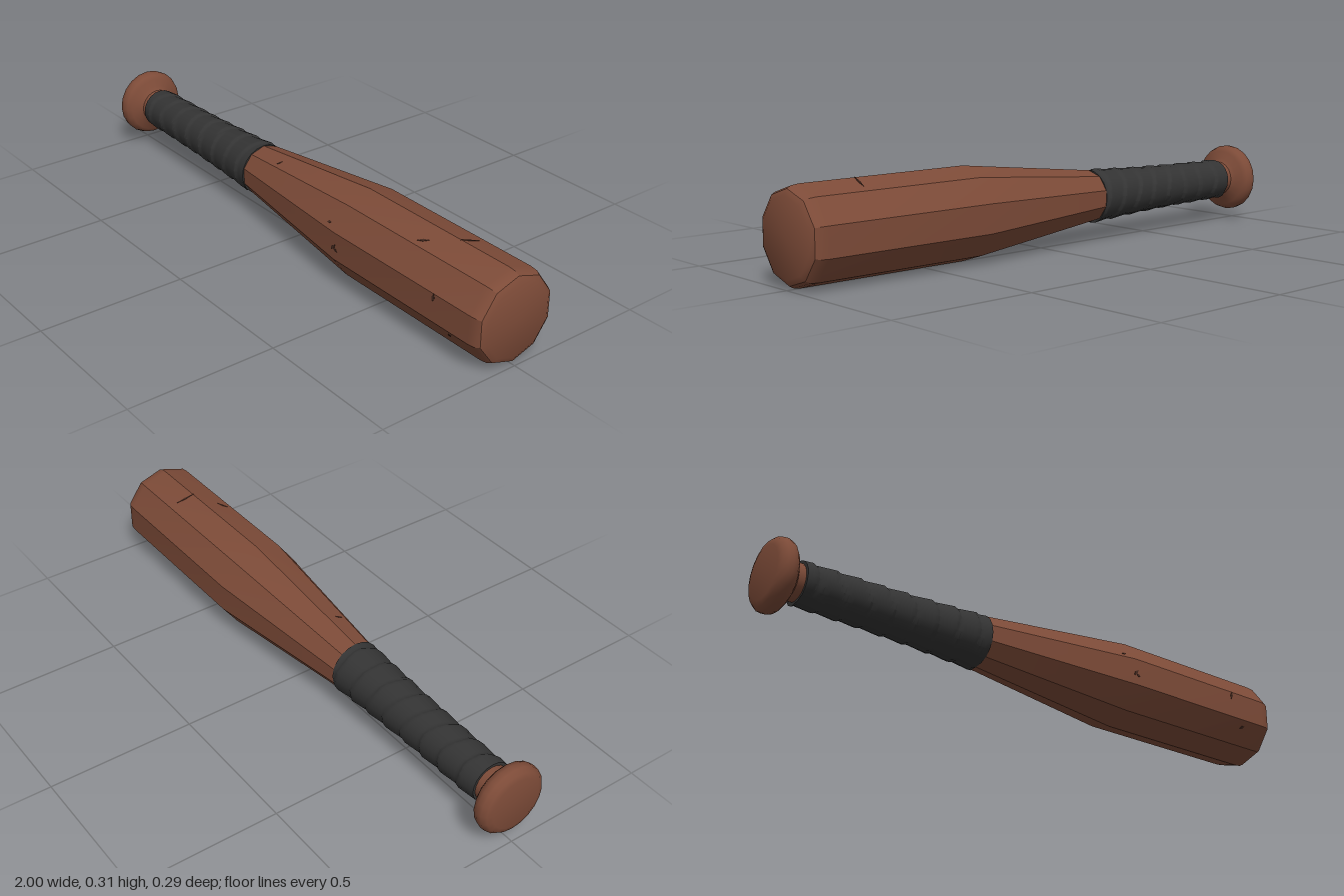
import * as THREE from 'three';
import { toCreasedNormals } from 'three/addons/utils/BufferGeometryUtils.js';

const wood = new THREE.MeshStandardMaterial({ color: 0x7d4b38 });
wood.name = 'wood';
const tape = new THREE.MeshStandardMaterial({ color: 0x343434 });
tape.name = 'grip tape';
const darkWood = new THREE.MeshStandardMaterial({ color: 0x452a20 });
darkWood.name = 'dark wood';

// Turns a profile of [x, radius] points around the x axis, with a corner pointing up
function turned(profile, sides) {
  const points = profile.map(([x, r]) => new THREE.Vector2(r, x));
  return new THREE.LatheGeometry(points, sides, Math.PI / 2).rotateZ(-Math.PI / 2);
}

function part(name, geometry, material, crease) {
  const mesh = new THREE.Mesh(toCreasedNormals(geometry, crease), material);
  mesh.name = name;
  return mesh;
}

// Tape: a tube whose radius steps in slanted overlapping wraps
function gripGeometry() {
  const start = -0.89, end = -0.225, rows = 64;
  const profile = [[start, 0.05]];
  for (let i = 0; i <= rows; i++) {
    const t = i / rows;
    profile.push([start + (end - start) * t, 0.069 + 0.002 * t + 0.019 * t * t]);
  }
  profile.push([end, 0.07]);
  const geometry = turned(profile, 20);
  const p = geometry.attributes.position;
  for (let i = 0; i < p.count; i++) {
    const x = p.getX(i), y = p.getY(i), z = p.getZ(i);
    const a = Math.atan2(z, y);
    const slant = x + 0.022 * Math.sin(a + 0.6) + 0.008 * Math.sin(2 * a + x * 9);
    const phase = slant / 0.083;
    const saw = phase - Math.floor(phase);
    const s = 1 + (0.006 * saw - 0.001) / Math.hypot(y, z);
    p.setXYZ(i, x, y * s, z * s);
  }
  return geometry;
}

export function createModel() {
  const group = new THREE.Group();
  group.name = 'bat';
  const body = new THREE.Group();
  body.name = 'batBody';
  body.position.y = 0.154;
  group.add(body);

  // Ten-sided barrel with a rounded end
  body.add(part('barrel', turned([
    [-0.24, 0.088], [-0.1, 0.104], [0.34, 0.154], [0.95, 0.154],
    [0.975, 0.151], [0.99, 0.143], [1, 0.125], [1, 0],
  ], 10), wood, 0.55));

  body.add(part('grip', gripGeometry(), tape, 0.6));

  // Knob and the short neck running under the tape
  body.add(part('knob', turned([
    [-1, 0], [-1, 0.088], [-0.994, 0.106], [-0.98, 0.118], [-0.962, 0.12],
    [-0.945, 0.114], [-0.934, 0.1], [-0.926, 0.075], [-0.915, 0.062], [-0.86, 0.06],
  ], 20), wood, 0.8));

  // Small nicks: x, facet number, offset across the facet, length, width, turn
  const nicks = [
    [0.3, 1, 0.026, 0.022, 0.01, 0.3],
    [0.34, 2, 0.004, 0.03, 0.012, 0.9],
    [0.35, 2, 0.012, 0.02, 0.01, -0.4],
    [0.8, 2, -0.034, 0.03, 0.012, 1.4],
    [0.86, 3, -0.02, 0.024, 0.012, 0.6],
    [0.66, 0, 0.02, 0.04, 0.01, 0.6],
    [0.76, -1, 0.016, 0.07, 0.008, 1.4],
    [-0.08, 0, 0.01, 0.022, 0.008, 1.2],
  ];
  for (const [x, facet, offset, length, width, turn] of nicks) {
    const slope = x < 0.34 ? 0.05 / 0.44 : 0;
    const radius = x < 0.34 ? 0.104 + (x + 0.1) * slope : 0.154;
    const pivot = new THREE.Group();
    pivot.name = 'nickPivot';
    pivot.rotation.x = (18 + 36 * facet) * Math.PI / 180;
    const geometry = new THREE.CylinderGeometry(0.5, 0.5, 0.003, 4)
      .scale(length, 1, width).rotateY(turn).rotateZ(Math.atan(slope));
    const nick = part('nick', geometry, darkWood, 0.3);
    nick.position.set(x, radius * Math.cos(Math.PI / 10), offset);
    pivot.add(nick);
    body.add(pivot);
  }
  return group;
}
